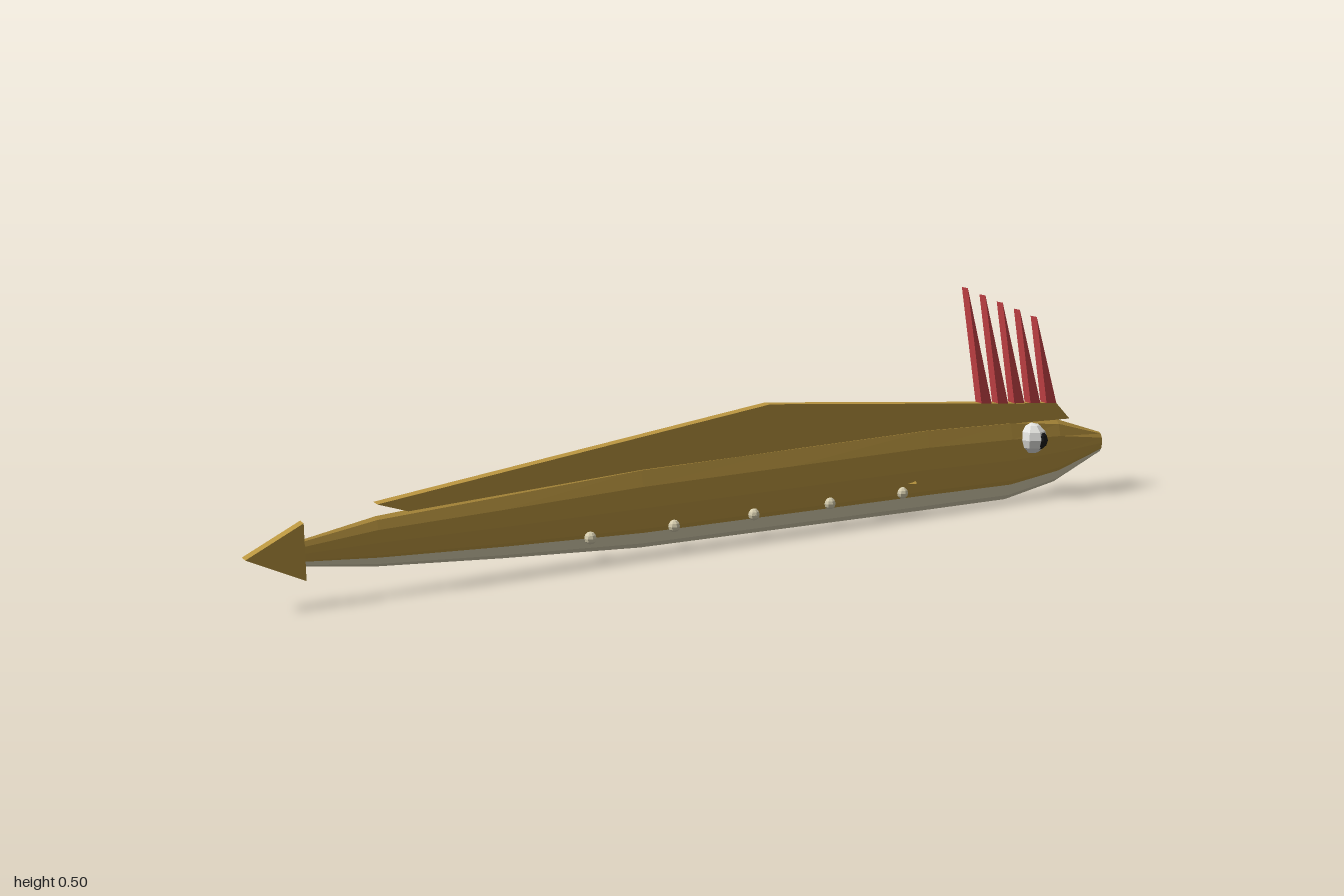
import * as THREE from 'three';

const material = (name, color, extra = {}) => {
  const m = new THREE.MeshStandardMaterial({ color, flatShading: true, ...extra });
  m.name = name;
  return m;
};

const MID = 0.019; // z of the body's plane of symmetry

export function createModel() {
  const gold = material('gold skin', 0xb8943f);
  const cream = material('cream belly', 0xd8cfb0);
  const red = material('red spines', 0xcc4448);
  const white = material('eye white', 0xeeeeea);
  const black = material('pupil black', 0x18181a);
  const fish = new THREE.Group();
  fish.name = 'fish';

  const add = (name, geometry, mat, x = 0, y = 0, z = 0) => {
    const mesh = new THREE.Mesh(geometry, mat);
    mesh.name = name;
    mesh.position.set(x, y, z);
    fish.add(mesh);
    return mesh;
  };

  // Body sections: x, bottom, top, half width
  const sections = [
    [-0.91, 0.083, 0.128, 0.006], [-0.75, 0.06, 0.158, 0.013],
    [-0.5, 0.04, 0.175, 0.018], [-0.2, 0.02, 0.195, 0.022],
    [0.15, 0.014, 0.2, 0.024], [0.5, 0.008, 0.204, 0.024],
    [0.73, 0.005, 0.196, 0.024], [0.87, 0.03, 0.178, 0.021],
    [1, 0.086, 0.134, 0.013],
  ];
  // Half cross-section from keel to back; the third point is the belly line
  const half = [[0, -1], [0.5, -0.87], [0.77, -0.6], [0.87, -0.5], [1, 0], [0.87, 0.5], [0.5, 0.87], [0, 1]];
  const ring = [...half, ...half.slice(1, -1).reverse().map(([w, h]) => [-w, h])];
  const rings = sections.map(([x, lo, hi, w]) =>
    ring.map(([u, v]) => [x, (lo + hi) / 2 + v * (hi - lo) / 2, MID + u * w]));
  const back = [], belly = [];
  const n = ring.length;
  for (let j = 0; j < n; j++) {
    const k = (j + 1) % n;
    const out = j < 2 || j >= n - 2 ? belly : back;
    for (let i = 0; i < rings.length - 1; i++) {
      const a = rings[i][j], b = rings[i + 1][j], c = rings[i + 1][k], d = rings[i][k];
      out.push(...a, ...b, ...c, ...a, ...c, ...d);
    }
    // End caps
    const tail = rings[0], nose = rings[rings.length - 1];
    back.push(-0.91, 0.105, MID, ...tail[j], ...tail[k]);
    back.push(1, 0.11, MID, ...nose[k], ...nose[j]);
  }
  const fromTriangles = (positions) => {
    const g = new THREE.BufferGeometry();
    g.setAttribute('position', new THREE.Float32BufferAttribute(positions, 3));
    g.computeVertexNormals();
    return g;
  };
  add('body', fromTriangles(back), gold);
  add('belly', fromTriangles(belly), cream);

  // Flat plates in the body's plane
  const plate = (name, points, thickness, mat) => {
    const shape = new THREE.Shape(points.map(([x, y]) => new THREE.Vector2(x, y)));
    const g = new THREE.ExtrudeGeometry(shape, { depth: thickness, bevelEnabled: false });
    return add(name, g, mat, 0, 0, MID - thickness / 2);
  };
  plate('tailFin', [[-1, 0.11], [-0.89, 0.055], [-0.89, 0.165]], 0.023, gold);
  plate('dorsalFin', [[-0.75, 0.183], [-0.69, 0.162], [-0.2, 0.185], [0.5, 0.19], [0.9, 0.178],
    [0.86, 0.218], [0.1, 0.29]], 0.023, gold);

  // Head spines, shorter toward the nose
  for (let i = 0; i < 5; i++) {
    const tipX = 0.6 + i * 0.0485, tipY = 0.5 - i * 0.0195;
    const baseX = 0.665 + i * 0.046, baseY = 0.215 - i * 0.003;
    plate('spine', [[baseX - 0.014, baseY], [baseX + 0.016, baseY], [tipX, tipY]], 0.022, red);
  }

  // Eyes and side lights on both flanks
  for (const side of [1, -1]) {
    add('eye', new THREE.SphereGeometry(0.036, 8, 6), white, 0.79, 0.144, MID + side * 0.012);
    add('pupil', new THREE.SphereGeometry(0.023, 8, 6), black, 0.797, 0.142, MID + side * 0.027);
    for (let i = 0; i < 5; i++) {
      add('sideLight', new THREE.SphereGeometry(0.013, 8, 6), cream, -0.32 + i * 0.1875, 0.062, MID + side * 0.022);
    }
  }

  // Pectoral fins: tilted triangular prisms
  const prism = (name, corners, thickness) => {
    const [a, b, c] = corners.map((p) => new THREE.Vector3(...p));
    const normal = b.clone().sub(a).cross(c.clone().sub(a)).setLength(thickness / 2);
    const top = [a, b, c].map((p) => p.clone().add(normal).toArray());
    const low = [a, b, c].map((p) => p.clone().sub(normal).toArray());
    const tris = [...top.flat(), ...low[0], ...low[2], ...low[1]];
    for (let i = 0; i < 3; i++) {
      const k = (i + 1) % 3;
      tris.push(...low[i], ...low[k], ...top[k], ...low[i], ...top[k], ...top[i]);
    }
    add(name, fromTriangles(tris), gold);
  };
  prism('upperPectoralFin', [[0.46, 0.09, -0.004], [0.335, 0.155, -0.027], [0.345, 0.09, -0.056]], 0.018);
  prism('lowerPectoralFin', [[0.465, 0.083, 0.043], [0.32, 0.09, -0.01], [0.36, 0.058, -0.018]], 0.012);

  return fish;
}
